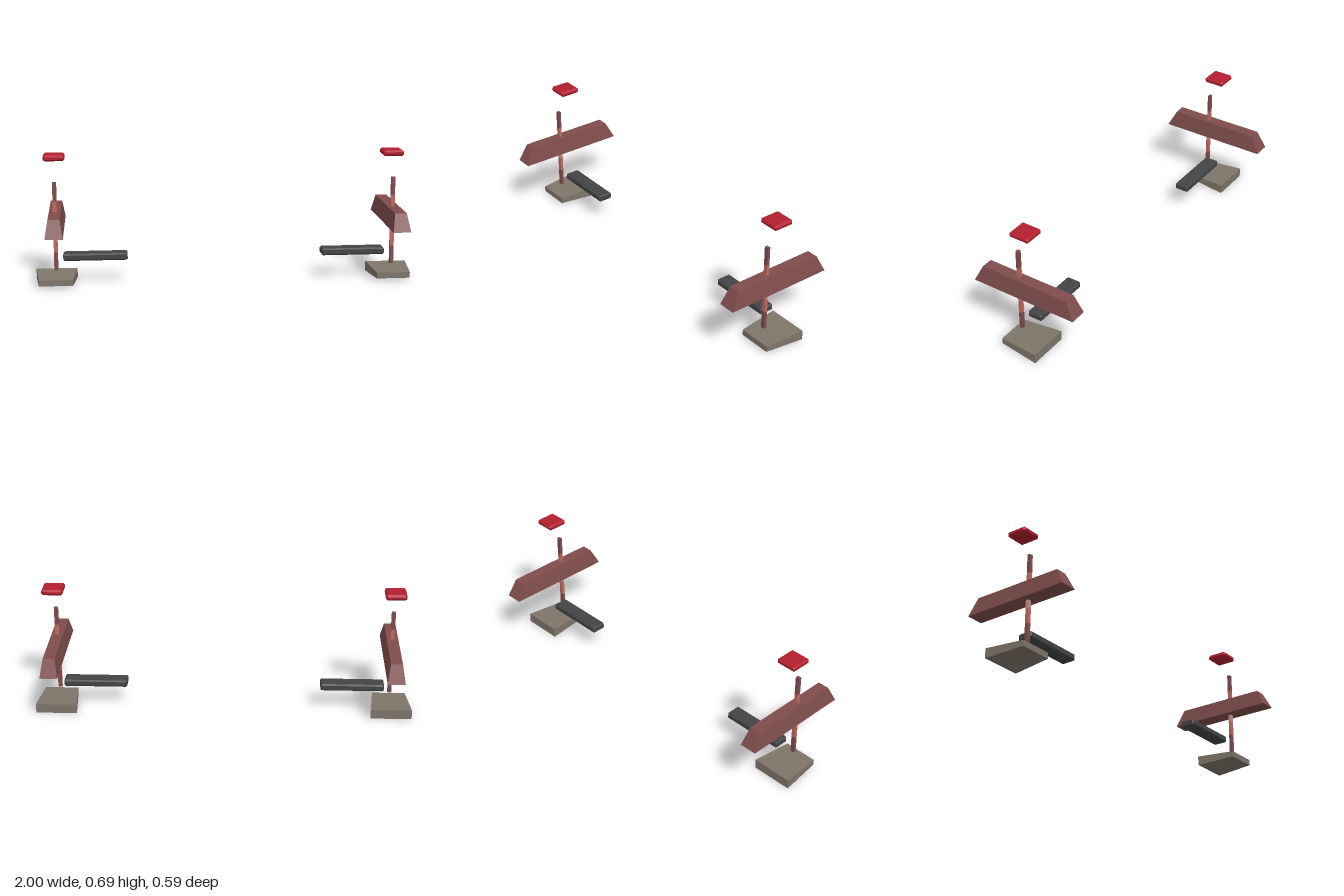
import * as THREE from 'three';
import { ConvexGeometry } from 'three/addons/geometries/ConvexGeometry.js';

const mat = (name, color) => {
  const m = new THREE.MeshStandardMaterial({ color });
  m.name = name;
  return m;
};
const V = (x, y, z) => new THREE.Vector3(x, y, z);
const SIGNS = [-1, 1];

// box with every edge cut at 45 degrees
function chamferedBox(w, h, d, c) {
  const pts = [];
  for (const i of SIGNS) for (const j of SIGNS) for (const k of SIGNS) {
    const x = w / 2, y = h / 2, z = d / 2;
    pts.push(
      V(i * x, j * (y - c), k * (z - c)),
      V(i * (x - c), j * y, k * (z - c)),
      V(i * (x - c), j * (y - c), k * z));
  }
  return new ConvexGeometry(pts);
}

// box whose vertices are scaled by a rule on one axis
function taperedBox(w, h, d, rule) {
  const g = new THREE.BoxGeometry(w, h, d);
  const p = g.attributes.position;
  const v = new THREE.Vector3();
  for (let i = 0; i < p.count; i++) {
    rule(v.fromBufferAttribute(p, i));
    p.setXYZ(i, v.x, v.y, v.z);
  }
  g.computeVertexNormals();
  return g;
}

export function createModel() {
  const model = new THREE.Group();
  const maroon = mat('maroon', 0x804d4d);
  const rose = mat('rose', 0xc06a60);
  const paleRose = mat('paleRose', 0xc78f87);
  const red = mat('red', 0xb41e2e);
  const charcoal = mat('charcoal', 0x424445);
  const stone = mat('stone', 0x7e766a);

  // foot: narrower and thinner at the front
  const footGeo = taperedBox(0.218, 0.051, 0.218, v => {
    if (v.z > 0) { v.x *= 0.81; v.y *= 0.61; }
  });
  // crossbeam: all sides slope in to the top
  const beamGeo = taperedBox(0.092, 0.092, 0.593, v => {
    if (v.y > 0) { v.x *= 0.66; v.z *= 0.843; }
  });
  const barGeo = chamferedBox(0.337, 0.037, 0.08, 0.007);
  const capGeo = chamferedBox(0.11, 0.03, 0.112, 0.009);

  // post bands from bottom to top
  const bands = [
    [0.08, 0.177, maroon], [0.177, 0.255, rose], [0.255, 0.373, paleRose],
    [0.373, 0.45, rose], [0.45, 0.548, maroon],
  ];

  for (const s of SIGNS) {
    const unit = new THREE.Group();
    unit.name = s > 0 ? 'leftUnit' : 'rightUnit';
    const add = (name, geo, m, x, y, z) => {
      const mesh = new THREE.Mesh(geo, m);
      mesh.name = name;
      mesh.position.set(s * x, y, z);
      unit.add(mesh);
    };
    add('foot', footGeo, stone, 0.891, 0.0255, 0);
    add('sideBar', barGeo, charcoal, 0.684, 0.143, 0);
    add('crossbeam', beamGeo, maroon, 0.89, 0.346, 0);
    add('cap', capGeo, red, 0.889, 0.673, 0);
    bands.forEach(([a, b, m], i) =>
      add('postBand' + (i + 1), new THREE.BoxGeometry(0.021, b - a, 0.016), m, 0.889, (a + b) / 2, 0.05));
    model.add(unit);
  }
  return model;
}
